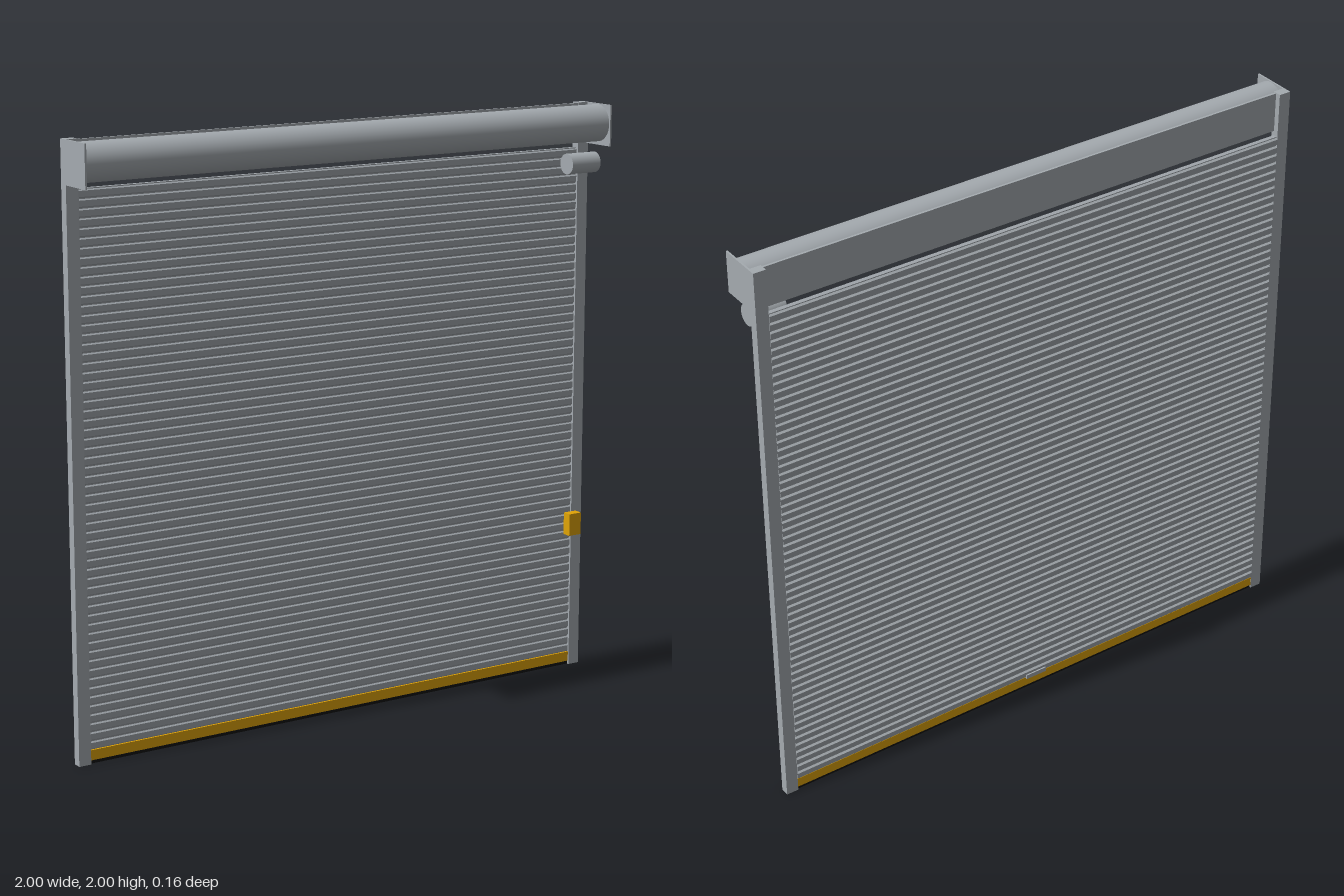
import * as THREE from 'three';

const material = (name, color) => {
  const m = new THREE.MeshStandardMaterial({ color });
  m.name = name;
  return m;
};

export function createModel() {
  const group = new THREE.Group();
  const steel = material('galvanised steel', 0xa5abb0);
  const slatGrey = material('slat grey', 0x9fa5aa);
  const yellow = material('safety yellow', 0xe0a305);
  const black = material('rubber black', 0x111111);

  const add = (name, geometry, mat, x, y, z) => {
    const mesh = new THREE.Mesh(geometry, mat);
    mesh.name = name;
    mesh.position.set(x, y, z);
    group.add(mesh);
  };
  // Box given by its minimum and maximum on each axis
  const box = (name, mat, [x0, x1], [y0, y1], [z0, z1]) =>
    add(name, new THREE.BoxGeometry(x1 - x0, y1 - y0, z1 - z0), mat,
      (x0 + x1) / 2, (y0 + y1) / 2, (z0 + z1) / 2);
  const tube = (name, mat, r, length, x, y, z) =>
    add(name, new THREE.CylinderGeometry(r, r, length, 32).rotateZ(Math.PI / 2), mat, x, y, z);

  // Side guides and end plates of the roller
  for (const s of [-1, 1]) {
    const side = s < 0 ? 'right' : 'left';
    const span = (a, b) => (s > 0 ? [a, b] : [-b, -a]);
    box(side + 'Guide', steel, span(0.957, 1), [0, 2], [-0.076, -0.045]);
    box(side + 'EndPlate', steel, span(0.994, 1), [1.86, 2], [-0.076, 0.082]);
  }

  // Roller barrel and header panel behind it
  tube('rollerBarrel', steel, 0.063, 1.988, 0, 1.935, 0.014);
  box('headerPanel', steel, [-0.957, 0.957], [1.862, 1.998], [-0.057, -0.049]);

  // Curtain of ribbed slats: flat faces with a shallow groove between neighbours
  const count = 60, bottom = 0.046, pitch = 0.03, width = 1.914;
  const profile = new THREE.Shape([
    [0.056, 0], [0.051, 0.004], [0.051, 0.023], [0.056, 0.027], [0.056, pitch],
    [0.071, pitch], [0.071, 0.027], [0.078, 0.023], [0.078, 0.004], [0.071, 0],
  ].map(([z, y]) => new THREE.Vector2(z, y)));
  const slat = new THREE.ExtrudeGeometry(profile, { depth: width, bevelEnabled: false });
  slat.rotateY(Math.PI / 2).translate(-width / 2, 0, 0);
  for (let i = 0; i < count; i++) add('slat', slat, slatGrey, 0, bottom + i * pitch, 0);

  // Bottom rail with rubber seal and lock handle at the back
  box('bottomRail', yellow, [-0.957, 0.957], [0.012, 0.046], [-0.075, -0.049]);
  box('bottomSeal', black, [-0.957, 0.957], [0, 0.012], [-0.071, -0.053]);
  box('lockHandle', steel, [-0.04, 0.04], [0.044, 0.06], [-0.083, -0.072]);

  // Drive motor and control box
  tube('motor', steel, 0.035, 0.118, 0.919, 1.803, 0.02);
  box('controlBox', yellow, [0.925, 0.975], [0.485, 0.563], [-0.045, -0.012]);

  return group;
}
